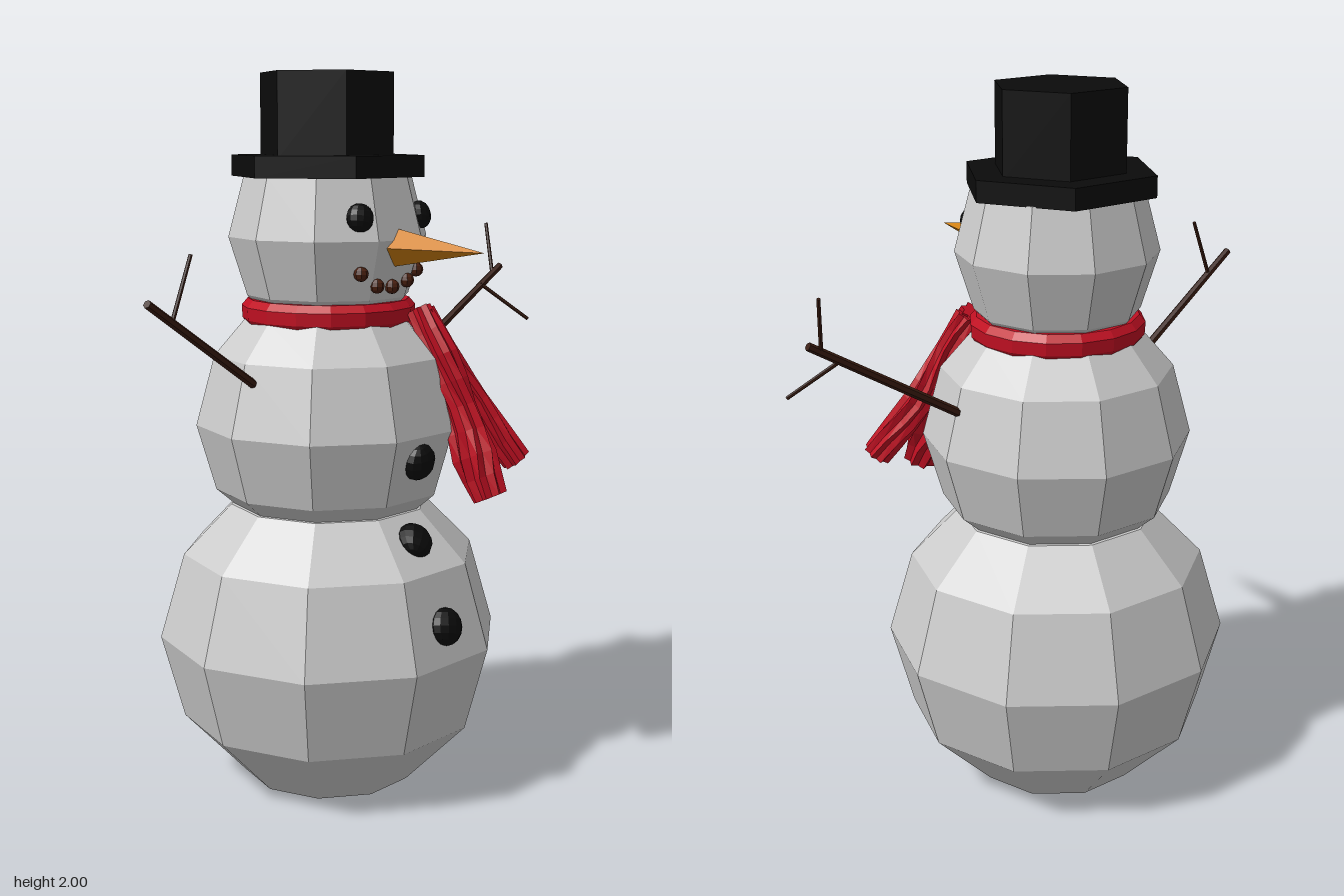
import * as THREE from 'three';

const CX = -0.05, CZ = 0.02; // vertical axis of the body
const mat = (color) => new THREE.MeshStandardMaterial({ color, flatShading: true, side: THREE.DoubleSide });
const V = (a) => new THREE.Vector3(...a);

export function createModel() {
  const model = new THREE.Group();
  const snow = mat(0xcccccc), black = mat(0x0b0b0b), brown = mat(0x3a1c10);
  const red = mat(0xc01022), orange = mat(0xd08010), pebble = mat(0x4a2010);

  const add = (name, geometry, material, x = 0, y = 0, z = 0, parent = model) => {
    const mesh = new THREE.Mesh(geometry, material);
    mesh.name = name;
    mesh.position.set(x, y, z);
    parent.add(mesh);
    return mesh;
  };
  const lathe = (name, profile, sides, material) =>
    add(name, new THREE.LatheGeometry(profile.map(([r, y]) => new THREE.Vector2(r, y)), sides), material, CX, 0, CZ);

  // Three faceted snowballs
  lathe('lowerBall', [[0, 0], [0.245, 0.005], [0.423, 0.19], [0.487, 0.43], [0.417, 0.67], [0.28, 0.81], [0, 0.84]], 10, snow);
  lathe('middleBall', [[0, 0.79], [0.27, 0.81], [0.322, 0.855], [0.375, 1.04], [0.322, 1.235], [0.235, 1.335], [0, 1.36]], 10, snow);
  lathe('head', [[0, 1.32], [0.17, 1.34], [0.228, 1.4], [0.278, 1.56], [0.234, 1.725], [0, 1.74]], 10, snow);

  // Six-sided top hat
  const hat = new THREE.Group();
  hat.name = 'hat';
  model.add(hat);
  add('hatBrim', new THREE.CylinderGeometry(0.272, 0.272, 0.058, 6), black, CX, 1.751, CZ + 0.007, hat);
  add('hatCrown', new THREE.CylinderGeometry(0.187, 0.187, 0.23, 6), black, CX, 1.885, CZ + 0.007, hat);

  // Four-sided carrot nose
  const nose = add('nose', new THREE.ConeGeometry(0.051, 0.3, 4), orange, 0.345, 1.54, CZ);
  nose.rotation.z = -Math.PI / 2;

  // Flattened discs pressed into the snow, facing along a normal
  const disc = (name, x, y, z, r, depth, normal) => {
    const mesh = add(name, new THREE.SphereGeometry(r, 12, 8).scale(1, 1, depth / r), black, x, y, z);
    mesh.quaternion.setFromUnitVectors(new THREE.Vector3(0, 0, 1), V(normal).normalize());
  };
  disc('rightEye', 0.18, 1.622, -0.1, 0.038, 0.028, [1, 0.3, -0.45]);
  disc('leftEye', 0.18, 1.622, 0.142, 0.038, 0.028, [1, 0.3, 0.45]);
  disc('upperButton', 0.288, 0.97, 0.024, 0.052, 0.038, [0.96, -0.25, 0]);
  disc('middleButton', 0.278, 0.75, 0.024, 0.052, 0.035, [0.73, 0.68, 0]);
  disc('lowerButton', 0.39, 0.53, 0.024, 0.052, 0.038, [0.96, 0.27, 0]);

  // Mouth of small pebbles
  for (const [x, y, z] of [[0.175, 1.474, 0.132], [0.185, 1.44, 0.08], [0.187, 1.435, 0.022], [0.185, 1.448, -0.04], [0.18, 1.474, -0.084]])
    add('mouthPebble', new THREE.SphereGeometry(0.02, 8, 6), pebble, x, y, z);

  // Scarf band around the neck
  lathe('scarfBand', [[0.2, 1.32], [0.225, 1.315], [0.24, 1.335], [0.242, 1.37], [0.225, 1.39], [0.19, 1.39]], 16, red);

  // Pleated scarf tails: a star section swept along a curve, closed at both ends
  const scarfTail = (name, points, radii, wide) => {
    const curve = new THREE.CatmullRomCurve3(points.map(V));
    const sides = 16, steps = 8, pos = [], index = [];
    for (let i = -1; i <= steps + 1; i++) {
      const t = THREE.MathUtils.clamp(i / steps, 0, 1);
      const p = curve.getPoint(t), tan = curve.getTangent(t);
      const out = new THREE.Vector3().crossVectors(new THREE.Vector3(0, 0, 1), tan).normalize();
      const side = new THREE.Vector3().crossVectors(tan, out);
      const f = t * (radii.length - 1), k = Math.min(Math.floor(f), radii.length - 2);
      const r = i < 0 || i > steps ? 0 : THREE.MathUtils.lerp(radii[k], radii[k + 1], f - k);
      for (let j = 0; j < sides; j++) {
        const a = (j / sides) * Math.PI * 2 + 0.3 * Math.sin(i);
        const s = r * (j % 2 ? 0.78 : 1.05);
        const q = p.clone().addScaledVector(out, Math.cos(a) * s).addScaledVector(side, Math.sin(a) * s * wide);
        pos.push(q.x, q.y, q.z);
        if (i <= steps) {
          const b = (i + 1) * sides, n = (j + 1) % sides;
          index.push(b + j, b + n, b + sides + j, b + n, b + sides + n, b + sides + j);
        }
      }
    }
    const g = new THREE.BufferGeometry();
    g.setAttribute('position', new THREE.Float32BufferAttribute(pos, 3));
    g.setIndex(index);
    g.computeVertexNormals();
    add(name, g, red);
  };
  scarfTail('scarfFrontTail', [[0.17, 1.36, -0.1], [0.245, 1.24, -0.118], [0.295, 1.1, -0.135], [0.35, 0.97, -0.138], [0.4, 0.86, -0.148]],
    [0.038, 0.044, 0.046, 0.058, 0.045], 1.1);
  scarfTail('scarfSideTail', [[0.17, 1.35, -0.12], [0.22, 1.22, -0.18], [0.275, 1.08, -0.245], [0.355, 0.93, -0.325]],
    [0.038, 0.036, 0.044, 0.04], 1.05);

  // Stick arms with twigs
  const stick = (name, from, to, r, parent) => {
    const a = V(from), d = V(to).sub(a);
    const mesh = add(name, new THREE.CylinderGeometry(r * 0.9, r, d.length(), 6), brown, 0, 0, 0, parent);
    mesh.position.copy(a).addScaledVector(d, 0.5);
    mesh.quaternion.setFromUnitVectors(new THREE.Vector3(0, 1, 0), d.normalize());
  };
  const arm = (name, from, to, twigs) => {
    const group = new THREE.Group();
    group.name = name;
    model.add(group);
    stick('branch', from, to, 0.0125, group);
    for (const [a, b] of twigs) stick('twig', a, b, 0.006, group);
  };
  arm('leftArm', [-0.025, 1.16, 0.3], [0.038, 1.435, 0.745], [[[0.024, 1.38, 0.655], [0.027, 1.545, 0.593]]]);
  arm('rightArm', [-0.052, 1.155, -0.29], [-0.038, 1.43, -0.745], [
    [[-0.04, 1.405, -0.71], [-0.09, 1.56, -0.738]],
    [[-0.04, 1.38, -0.65], [0.067, 1.27, -0.755]],
  ]);

  return model;
}
